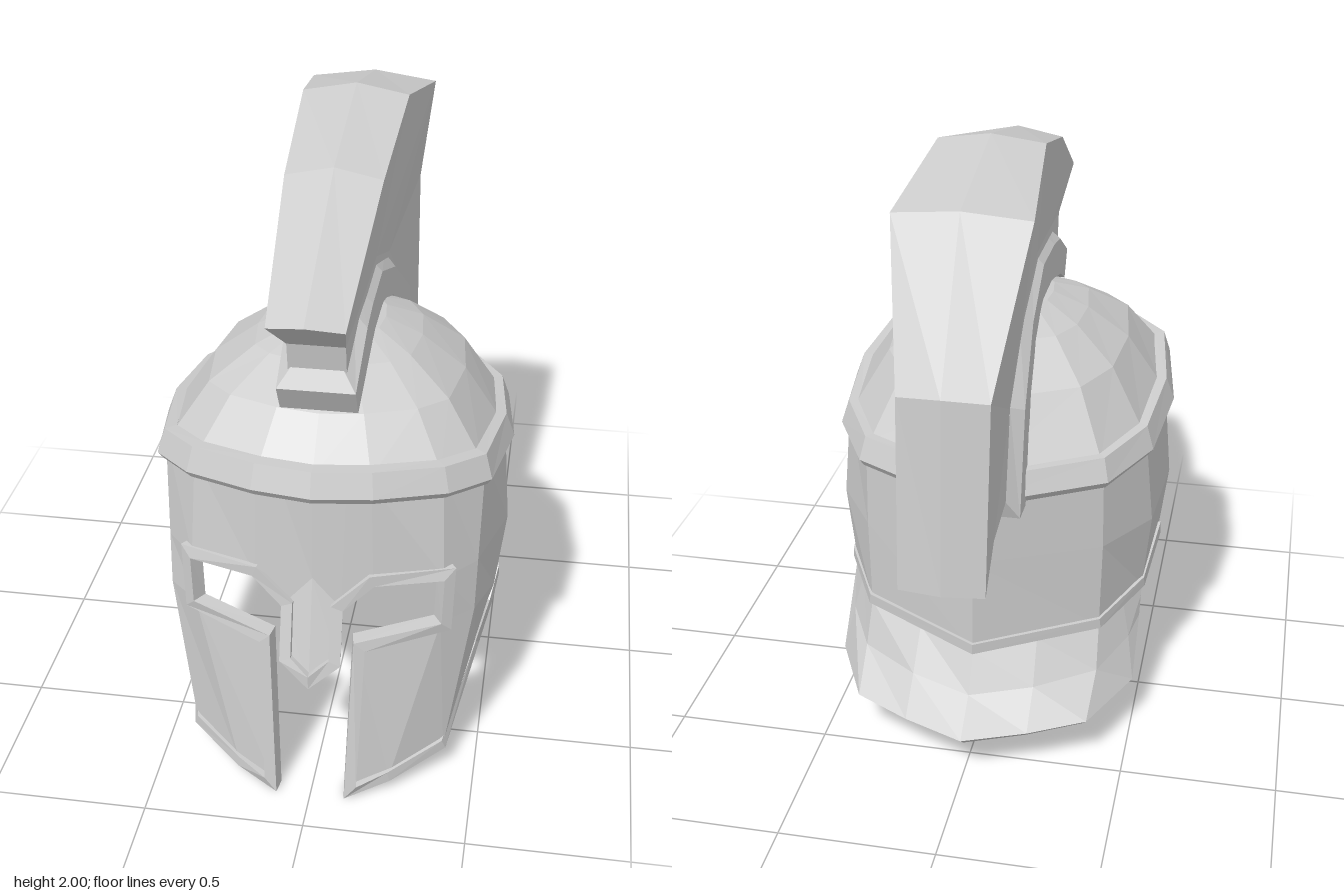
import * as THREE from 'three';

const V = (x, y, z) => new THREE.Vector3(x, y, z);
const mirrorX = (p) => V(-p.x, p.y, p.z);
const material = new THREE.MeshStandardMaterial({ color: 0xcccccc, flatShading: true });
const openMaterial = new THREE.MeshStandardMaterial({ color: 0xcccccc, flatShading: true, side: THREE.DoubleSide });

// Faceted mesh from a list of triangles
function facetMesh(name, tris, mat = material) {
  const g = new THREE.BufferGeometry().setFromPoints(tris.flat());
  g.computeVertexNormals();
  const m = new THREE.Mesh(g, mat);
  m.name = name;
  return m;
}

// Skin a row of closed cross-sections; the solid is turned outward by its signed volume
function loft(name, rings, loop = false) {
  const tris = [], n = rings[0].length;
  const last = loop ? rings.length : rings.length - 1;
  for (let i = 0; i < last; i++) {
    const a = rings[i], b = rings[(i + 1) % rings.length];
    for (let j = 0; j < n; j++) {
      const k = (j + 1) % n;
      tris.push([a[j], b[j], b[k]], [a[j], b[k], a[k]]);
    }
  }
  // end caps, in strips from one side of the section to the other
  if (!loop) {
    const a = rings[0], b = rings[rings.length - 1];
    for (let j = 0; j < Math.floor(n / 2); j++) {
      const k = j + 1, l = n - 2 - j, m = n - 1 - j;
      tris.push([a[j], a[k], a[m]], [b[j], b[m], b[k]]);
      if (l > k) tris.push([a[k], a[l], a[m]], [b[k], b[m], b[l]]);
    }
  }
  const volume = tris.reduce((s, [a, b, c]) => s + a.dot(b.clone().cross(c)), 0);
  if (volume < 0) tris.forEach((t) => t.reverse());
  return facetMesh(name, tris);
}

// Half of the helmet wall as upright creases, front to back: keys are [y, x, z]
const columns = {
  A: [[1.1, 0, 0.76], [0.78, 0, 0.77], [0.445, 0, 0.86]],
  N: [[1.1, 0.1, 0.745], [0.68, 0.088, 0.775], [0.51, 0.088, 0.825]],
  B: [[1.1, 0.17, 0.73], [0.765, 0.18, 0.75], [0.57, 0.13, 0.79], [0.01, 0.11, 0.855]],
  C: [[1.1, 0.37, 0.65], [0.765, 0.385, 0.69], [0.6, 0.38, 0.695], [0.045, 0.24, 0.795]],
  D: [[1.1, 0.485, 0.54], [0.6, 0.475, 0.61], [0.1, 0.4, 0.68]],
  E: [[1.05, 0.525, 0.24], [0.72, 0.55, 0.27], [0.48, 0.52, 0.31], [0.25, 0.47, 0.33]],
  F: [[1.02, 0.495, -0.06], [0.7, 0.525, -0.05], [0.44, 0.5, -0.04]],
  G: [[1, 0.385, -0.26], [0.7, 0.39, -0.26], [0.4, 0.385, -0.26]],
  I: [[0.98, 0, -0.44], [0.37, 0, -0.445]],
};

function onWall(c, y) {
  const keys = columns[c];
  let i = 0;
  while (i < keys.length - 2 && y < keys[i + 1][0]) i++;
  const [a, b] = [keys[i], keys[i + 1]];
  const t = THREE.MathUtils.clamp((a[0] - y) / (a[0] - b[0]), 0, 1);
  return V(a[1] + (b[1] - a[1]) * t, y, a[2] + (b[2] - a[2]) * t);
}

const outward = (p) => V(p.x, 0, (p.z - 0.2) * 1.2).normalize();

// Wall panels: column pair, then [left y, right y] down the panel
const panels = [
  ['AN', [1.1, 1.1], [0.78, 0.68], [0.445, 0.51]],
  ['NB', [1.1, 1.1], [0.68, 0.765]],
  ['BC', [1.1, 1.1], [0.765, 0.765]],
  ['BC', [0.57, 0.6], [0.01, 0.045]],
  ['CD', [1.1, 1.1], [0.765, 0.765], [0.6, 0.6], [0.045, 0.1]],
  ['DE', [1.1, 1.05], [0.77, 0.72], [0.6, 0.48], [0.1, 0.25]],
  ['EF', [1.05, 1.02], [0.72, 0.7], [0.48, 0.44]],
  ['FG', [1.02, 1], [0.7, 0.7], [0.44, 0.4]],
  ['GI', [1, 0.98], [0.7, 0.7], [0.4, 0.37]],
];

function buildWall() {
  const tris = [];
  const quad = (a, b, c, d) => tris.push([a, b, c], [a, c, d]);
  const inner = (p) => p.clone().addScaledVector(outward(p), -0.035);
  for (const [[l, r], ...rows] of panels) {
    for (let i = 0; i < rows.length - 1; i++) {
      const q = [onWall(l, rows[i][0]), onWall(l, rows[i + 1][0]), onWall(r, rows[i + 1][1]), onWall(r, rows[i][1])];
      quad(...q);
      quad(...q.map(inner).reverse());
      quad(...q.map(mirrorX).reverse());
      quad(...q.map(inner).map(mirrorX));
    }
  }
  return facetMesh('helmetWall', tris);
}

// One raised border around the eyes, nose, cheeks and neckline
function buildTrim() {
  const half = [['A', 0.445], ['N', 0.51], ['N', 0.68], ['B', 0.765], ['C', 0.765], ['C', 0.6], ['B', 0.57], ['B', 0.01],
    ['C', 0.045], ['D', 0.1], ['E', 0.25], ['E', 0.42]].map(([c, y]) => onWall(c, y));
  half.push(V(0.52, 0.48, 0.25), onWall('F', 0.44), onWall('G', 0.4), onWall('I', 0.37));
  const path = [...half, ...half.slice(1, -1).reverse().map(mirrorX)];
  const n = path.length;
  const rings = path.map((p, i) => {
    const o = outward(p);
    const side = (a, b) => o.clone().cross(b.clone().sub(a)).normalize();
    const s1 = side(path[(i + n - 1) % n], p), s2 = side(p, path[(i + 1) % n]);
    const m = s1.clone().add(s2).divideScalar(Math.max(0.5, 1 + s1.dot(s2)));
    const at = (out, across) => p.clone().addScaledVector(o, out).addScaledVector(m, across);
    return [at(0.012, -0.004), at(0.012, 0.032), at(-0.038, 0.032), at(-0.038, -0.004)];
  });
  return loft('openingTrim', rings, true);
}

// Plan outline shared by the brow band and the dome
const halfPlan = 'ABCDEFGI'.split('').map((c) => onWall(c, 1.05));
const plan = [...halfPlan, ...halfPlan.slice(1, -1).reverse().map(mirrorX)];
const bandY = (z) => 1.1 + (z - 0.78) * 0.123;

function buildBand() {
  const section = [[-0.03, -0.05], [0.012, -0.05], [0.03, -0.025], [0.002, 0.05], [-0.04, 0.05]];
  const rings = plan.map((p) => section.map(([out, dy]) => {
    const q = p.clone().addScaledVector(outward(p), out);
    q.y = bandY(p.z) + dy;
    return q;
  }));
  return loft('browBand', rings, true);
}

function buildDome() {
  const levels = [[0.97, 0.08], [0.75, 0.56], [0.49, 0.84], [0.27, 0.98], [0.001, 1]];
  const rings = levels.map(([k, h]) => plan.map((p) => {
    const base = bandY(p.z);
    return V(p.x * k, base + (1.385 - base) * h, 0.2 + (p.z - 0.2) * k);
  }));
  const tris = [];
  for (let i = 0; i < rings.length - 1; i++) {
    for (let j = 0; j < plan.length; j++) {
      const k = (j + 1) % plan.length, a = rings[i], b = rings[i + 1];
      tris.push([a[j], a[k], b[k]], [a[j], b[k], b[j]]);
    }
  }
  return facetMesh('dome', tris, openMaterial);
}

// Crest: [ridge z, y, half width, bevel], [foot z, y, half width], [base z, y] sunk in the holder
function buildCrest() {
  const stations = [
    [[0.845, 1.65, 0.11, 0.03], [0.655, 1.5, 0.085], [0.635, 1.38]],
    [[0.32, 1.9, 0.145, 0.03], [0.35, 1.54, 0.1], [0.35, 1.45]],
    [[-0.13, 2.0, 0.165, 0.03], [0.13, 1.54, 0.1], [0.13, 1.45]],
    [[-0.56, 1.9, 0.205, 0.03], [-0.15, 1.43, 0.105], [-0.1, 1.37]],
    [[-0.83, 1.45, 0.135, 0.03], [-0.4, 1.23, 0.11], [-0.35, 1.18]],
    [[-0.872, 0.845, 0.13, 0.01], [-0.69, 0.94, 0.12], [-0.49, 0.975]],
  ];
  const rings = stations.map(([[rz, ry, rw, bevel], [fz, fy, fw], [bz, by]]) => {
    const ridge = V(0, ry, rz), foot = V(0, fy, fz);
    const edge = ridge.clone().addScaledVector(foot.clone().sub(ridge).normalize(), bevel);
    const side = [V(fw, by, bz), V(fw, fy, fz), V(rw, edge.y, edge.z)];
    return [...side, ridge, ...side.map(mirrorX).reverse()];
  });
  return loft('crest', rings);
}

// Crest holder: [top z, y], [bevel z, y], [bottom z, y], half width
function buildHolder() {
  const stations = [
    [[0.64, 1.42], [0.67, 1.36], [0.62, 1.27], 0.115],
    [[0.46, 1.51], [0.47, 1.47], [0.5, 1.33], 0.12],
    [[0.35, 1.53], [0.35, 1.49], [0.35, 1.37], 0.12],
    [[0.14, 1.535], [0.14, 1.495], [0.14, 1.37], 0.12],
    [[-0.14, 1.43], [-0.11, 1.395], [-0.06, 1.32], 0.13],
    [[-0.39, 1.23], [-0.355, 1.21], [-0.29, 1.1], 0.15],
    [[-0.51, 0.97], [-0.485, 0.905], [-0.39, 0.9], 0.16],
  ];
  const rings = stations.map(([t, m, b, w]) => {
    const side = [V(w, b[1], b[0]), V(w, m[1], m[0]), V(w - 0.04, t[1], t[0])];
    return [...side, ...side.map(mirrorX).reverse()];
  });
  return loft('crestHolder', rings);
}

// Flared neck guard: top, bend and tip points from side to centre back
function buildNeckGuard() {
  const half = [
    [V(0.5, 0.44, -0.02), V(0.5, 0.4, -0.05), V(0.5, 0.34, -0.08)],
    [V(0.45, 0.42, -0.14), V(0.475, 0.31, -0.17), V(0.5, 0.18, -0.23)],
    [V(0.385, 0.4, -0.26), V(0.39, 0.27, -0.33), V(0.38, 0.17, -0.48)],
    [V(0.195, 0.385, -0.355), V(0.2, 0.26, -0.45), V(0.2, 0.16, -0.565)],
    [V(0, 0.37, -0.445), V(0, 0.25, -0.52), V(0, 0.16, -0.645)],
  ];
  const all = [...half, ...half.slice(0, -1).reverse().map((s) => s.map(mirrorX))];
  const rings = all.map((s) => {
    const under = s.map((p, i) => p.clone().addScaledVector(outward(p), i ? -0.04 : -0.06).add(V(0, i ? -0.035 : 0.04, 0)));
    return [...s, ...under.reverse()];
  });
  return loft('neckGuard', rings);
}

export function createModel() {
  const helmet = new THREE.Group();
  helmet.name = 'crestedHelmet';
  helmet.add(buildWall(), buildTrim(), buildBand(), buildDome(), buildHolder(), buildCrest(), buildNeckGuard());
  return helmet;
}
